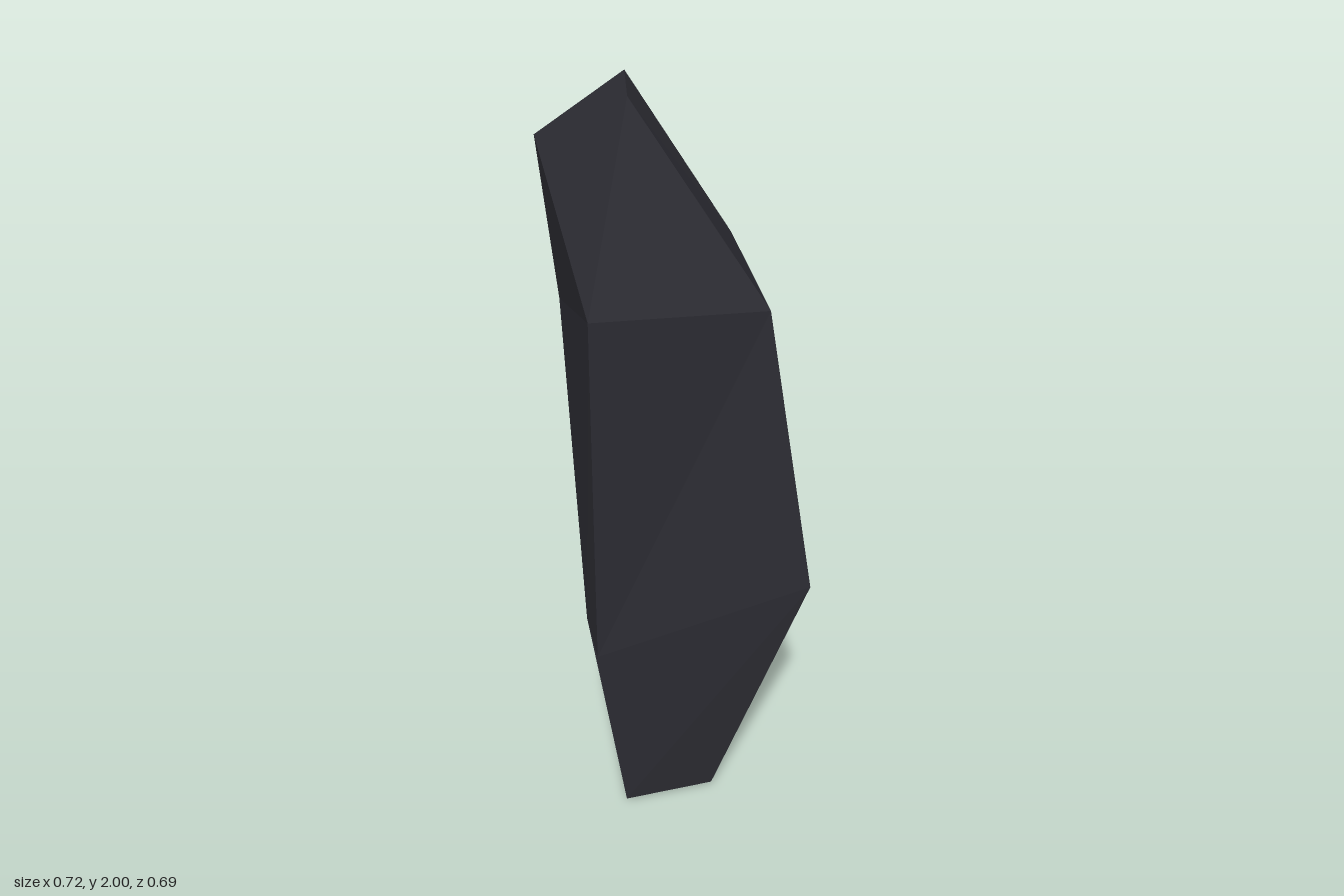
import * as THREE from 'three';

export function createModel() {
  const group = new THREE.Group();
  const stone = new THREE.MeshStandardMaterial({ color: 0x2c2c33, flatShading: true });
  stone.name = 'dark stone';

  // Corners of the shard
  const corner = {
    // crown
    A: [-0.075, 2.0, -0.03], B: [0.052, 1.99, -0.167], C: [-0.09, 1.83, -0.325],
    // shoulder
    D: [-0.01, 1.365, -0.345], E: [-0.36, 1.61, 0.13], G: [0.36, 1.5, -0.105],
    H: [0.1, 1.51, 0.255], J: [0.275, 1.31, -0.13],
    // waist, with an overhanging ledge
    F: [-0.36, 0.69, 0.135], I: [0.19, 0.715, 0.345], P: [-0.285, 0.705, 0.02],
    // foot
    K: [0.045, 0.015, 0.15], L: [0.155, 0.0, -0.03], M: [-0.005, 0.03, -0.09], N: [-0.165, 0.015, 0.03],
  };

  // Each word is one facet, its corners counter-clockwise from outside
  const facets = {
    crown: 'AEH AHGB ACE ABC BGC',
    body: 'EFH FIH HJG HIJ GDC GJD ECD EDP EPF FPI',
    taperedBase: 'IPN INK IKL ILJ JLD DLM PDMN KNML',
  };

  for (const [name, list] of Object.entries(facets)) {
    const points = [];
    for (const facet of list.split(' ')) {
      for (let i = 1; i < facet.length - 1; i++) {
        for (const key of [facet[0], facet[i], facet[i + 1]]) points.push(...corner[key]);
      }
    }
    const geometry = new THREE.BufferGeometry();
    geometry.setAttribute('position', new THREE.Float32BufferAttribute(points, 3));
    geometry.computeVertexNormals();
    const mesh = new THREE.Mesh(geometry, stone);
    mesh.name = name;
    group.add(mesh);
  }

  group.name = 'stoneShard';
  return group;
}
